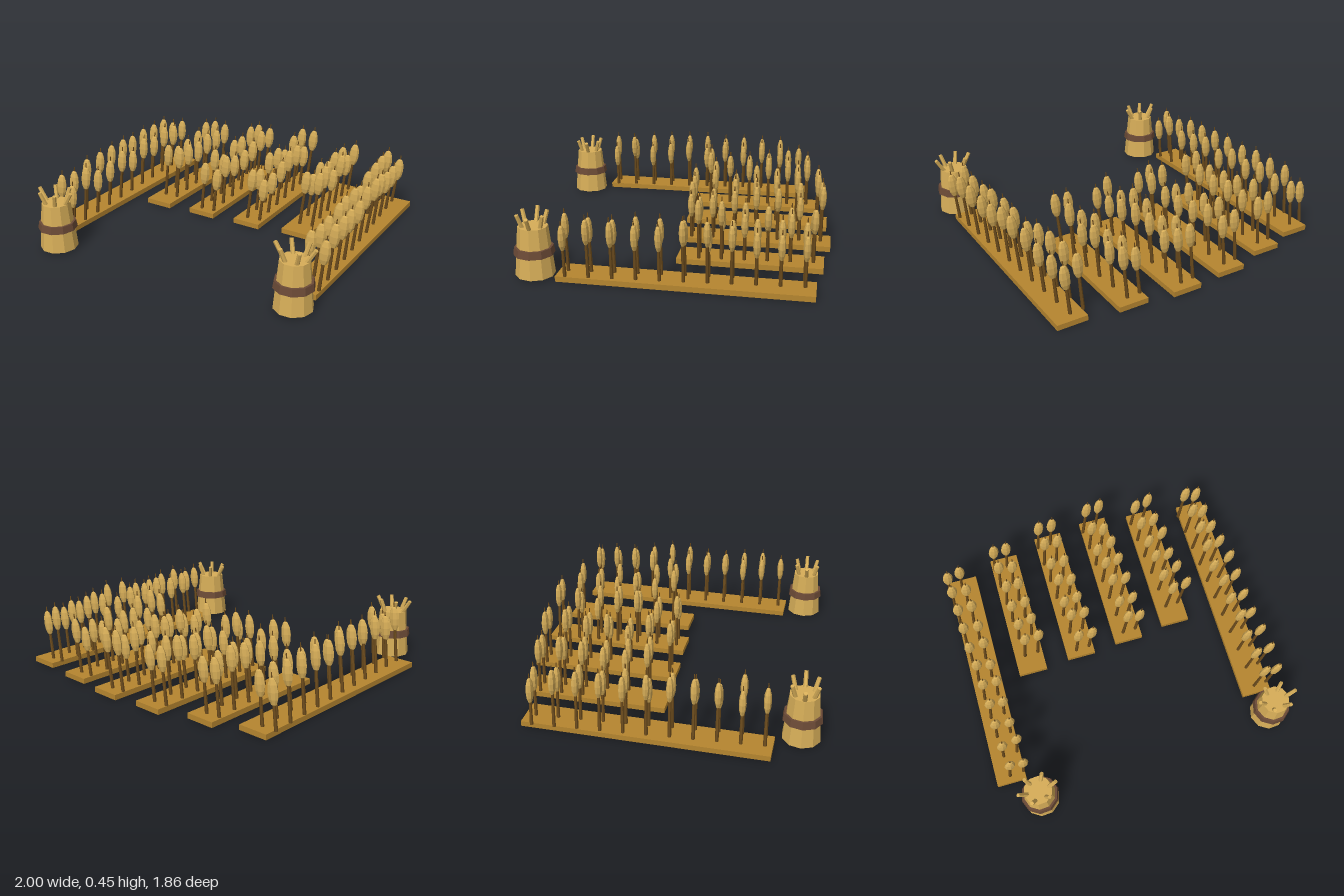
import * as THREE from 'three';

const mat = (color) => new THREE.MeshStandardMaterial({ color, flatShading: true });
const soil = mat(0xb5852f);
const straw = mat(0xd6ad58);
const stem = mat(0x6a4a1c);
const binding = mat(0x6b4a36);

function add(parent, name, geometry, material, x = 0, y = 0, z = 0) {
  const mesh = new THREE.Mesh(geometry, material);
  mesh.name = name;
  mesh.position.set(x, y, z);
  parent.add(mesh);
  return mesh;
}

// Repeatable variation between 0 and 1
let seed = 7;
function vary() {
  seed = (seed * 16807) % 2147483647;
  return seed / 2147483647;
}

// Shared plant geometries; the stalk has unit height and its foot at the origin
const stalkGeo = new THREE.CylinderGeometry(0.008, 0.011, 1, 6).translate(0, 0.5, 0);
const earGeo = new THREE.SphereGeometry(1, 8, 6).scale(0.034, 0.082, 0.022);
const awnGeo = new THREE.CylinderGeometry(0.003, 0.006, 0.07, 5);

// One stalk of grain, leaning slightly towards +x
function grainStalk(headX, z) {
  const plant = new THREE.Group();
  plant.name = 'grainStalk';
  const height = 0.22 + 0.09 * vary(); // ear centre above the soil
  const lean = 0.08 + 0.04 * vary();
  add(plant, 'stalk', stalkGeo, stem).scale.y = height;
  add(plant, 'ear', earGeo, straw, 0, height, 0);
  add(plant, 'awn', awnGeo, stem, 0, height + 0.072, 0);
  plant.position.set(headX - 0.027, 0.03, z);
  plant.rotation.z = -lean;
  return plant;
}

// Planted strip: a slanted board of soil with two columns of grain
function fieldStrip({ x, z, length, columns, from, to, rows }) {
  const strip = new THREE.Group();
  strip.name = 'fieldStrip';
  const bed = add(strip, 'soilBed', new THREE.BoxGeometry(0.188, 0.033, length), soil, x, 0.0165, z);
  bed.rotation.y = -0.075;
  for (let i = 0; i < rows; i++) {
    const rowZ = from + ((to - from) * i) / (rows - 1);
    for (const column of columns) strip.add(grainStalk(column, rowZ));
  }
  return strip;
}

// Bundle of straw: tapered body, dark band and splayed straws
function sheaf(x, z) {
  const group = new THREE.Group();
  group.name = 'sheaf';
  const turn = Math.PI / 2;
  add(group, 'sheafBody', new THREE.CylinderGeometry(0.087, 0.115, 0.295, 10, 1, false, turn), straw, 0, 0.16, 0);
  add(group, 'sheafBand', new THREE.CylinderGeometry(0.112, 0.119, 0.045, 10, 1, false, turn), binding, 0, 0.163, 0);
  const up = new THREE.Vector3(0, 1, 0);
  for (let i = 0; i < 6; i++) {
    const a = (i * Math.PI) / 3;
    const side = i % 3 === 0;
    const foot = new THREE.Vector3(Math.cos(a) * 0.05, 0.27, Math.sin(a) * 0.05);
    const tip = new THREE.Vector3(Math.cos(a) * (side ? 0.118 : 0.11), 0.385, Math.sin(a) * (side ? 0 : 0.085));
    const dir = tip.clone().sub(foot);
    const geo = new THREE.CylinderGeometry(0.012, 0.014, dir.length(), 6);
    const mid = foot.clone().add(tip).multiplyScalar(0.5);
    const piece = add(group, 'looseStraw', geo, straw, mid.x, mid.y, mid.z);
    piece.quaternion.setFromUnitVectors(up, dir.normalize());
  }
  group.position.set(x, 0, z);
  return group;
}

export function createModel() {
  const model = new THREE.Group();
  model.name = 'grainField';
  const strips = [
    { x: -0.853, z: -0.07, length: 1.465, columns: [-0.88, -0.79], from: -0.737, to: 0.615, rows: 11 },
    { x: -0.514, z: -0.427, length: 0.87, columns: [-0.537, -0.448], from: -0.79, to: -0.118, rows: 6 },
    { x: -0.172, z: -0.453, length: 0.93, columns: [-0.2, -0.11], from: -0.85, to: -0.037, rows: 7 },
    { x: 0.167, z: -0.453, length: 0.94, columns: [0.14, 0.228], from: -0.858, to: -0.047, rows: 7 },
    { x: 0.506, z: -0.429, length: 0.87, columns: [0.482, 0.568], from: -0.8, to: -0.123, rows: 6 },
    { x: 0.849, z: -0.073, length: 1.465, columns: [0.824, 0.908], from: -0.742, to: 0.607, rows: 11 },
  ];
  for (const s of strips) model.add(fieldStrip(s));
  model.add(sheaf(-0.762, 0.815), sheaf(0.81, 0.797));
  return model;
}
